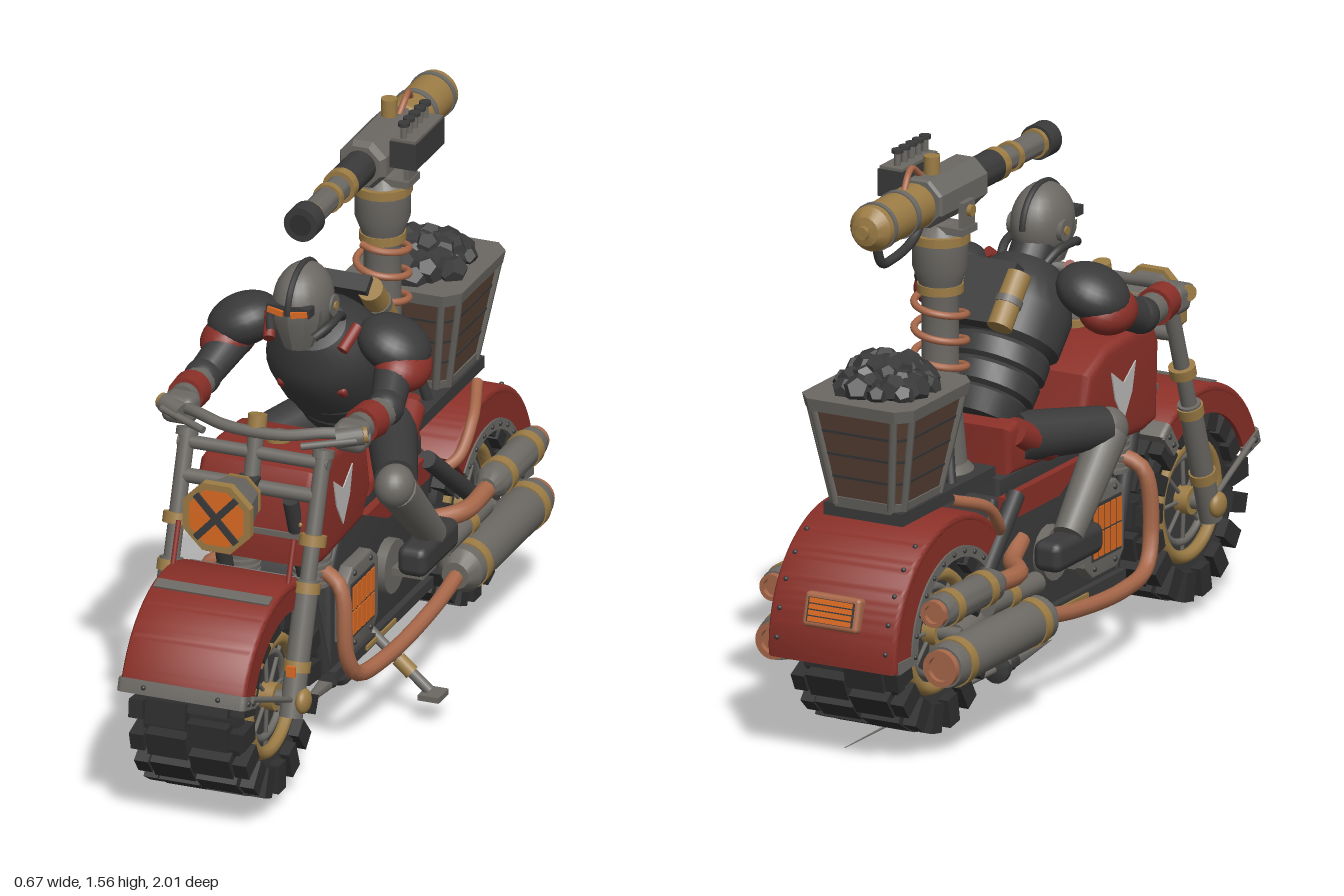
import * as THREE from 'three';
import { toCreasedNormals } from 'three/addons/utils/BufferGeometryUtils.js';
import { RoundedBoxGeometry } from 'three/addons/geometries/RoundedBoxGeometry.js';

const mat = (name, color, side = THREE.FrontSide) => Object.assign(new THREE.MeshStandardMaterial({ color, side }), { name });
const red = mat('red paint', 0x8a3028), grey = mat('steel', 0x6c6964), dark = mat('dark armour', 0x3b3a3a);
const rubber = mat('rubber', 0x2f2f2f, THREE.DoubleSide), gold = mat('brass', 0x9c7c45), copper = mat('copper', 0xa8684a);
const brown = mat('wood', 0x594236), orange = mat('orange glow', 0xdd6b22), light = mat('pale metal', 0xbdbbb8);
const V = (p) => new THREE.Vector3(...p);
const PI = Math.PI, SIDES = [1, -1];

export function createModel() {
  const root = new THREE.Group();
  root.name = 'riderOnMotorcycle';
  let parent = root;
  const part = (name, x = 0, y = 0, z = 0) => {
    parent = new THREE.Group(); parent.name = name; parent.position.set(x - 0.012, y, z); root.add(parent);
  };
  const add = (name, geo, m, p = [0, 0, 0], rot = [0, 0, 0]) => {
    const mesh = new THREE.Mesh(geo, m);
    mesh.name = name; mesh.position.set(...p); mesh.rotation.set(...rot); parent.add(mesh);
    return mesh;
  };
  const box = (name, m, size, p, rot) => add(name, new THREE.BoxGeometry(...size), m, p, rot);
  const soft = (name, m, size, r, p, rot) => add(name, new RoundedBoxGeometry(...size, 2, r), m, p, rot);
  const ball = (name, m, size, p, rot) => { const b = add(name, new THREE.SphereGeometry(1, 24, 16), m, p, rot); b.scale.set(...size); return b; };
  const rod = (name, m, a, b, r0, r1 = r0, n = 16) => {
    const d = V(b).sub(V(a)), mid = V(a).addScaledVector(d, 0.5);
    const mesh = add(name, new THREE.CylinderGeometry(r1, r0, d.length(), n), m, mid.toArray());
    mesh.quaternion.setFromUnitVectors(new THREE.Vector3(0, 1, 0), d.normalize());
    return mesh;
  };
  const tube = (name, m, pts, r, n = 40) => add(name, new THREE.TubeGeometry(new THREE.CatmullRomCurve3(pts.map(V)), n, r, 10), m);
  // turned profile [radius, height], heights ascending
  const turned = (pts, n = 28) => toCreasedNormals(new THREE.LatheGeometry(pts.map((p) => new THREE.Vector2(...p)), n), 0.5);
  const alongZ = (name, m, pts, p = [0, 0, 0], n = 28) => add(name, turned(pts, n).rotateX(PI / 2), m, p);
  const octZ = (name, m, pts) => alongZ(name, m, pts, [0, 0, 0], 8).rotation.set(0, 0, PI / 8);
  // side outline (z, y) extruded across x
  const across = (shape, w, bevel = 0) => {
    const g = new THREE.ExtrudeGeometry(shape, { depth: w - 2 * bevel, curveSegments: 32, bevelEnabled: bevel > 0, bevelSize: bevel, bevelThickness: bevel, bevelOffset: -bevel, bevelSegments: 4 });
    return toCreasedNormals(g.translate(0, 0, bevel - w / 2).rotateY(-PI / 2), 0.6);
  };
  const outline = (pts) => new THREE.Shape(pts.map((p) => new THREE.Vector2(...p)));
  const sector = (r0, r1, a0, a1) => {
    const s = new THREE.Shape();
    s.absarc(0, 0, r1, a0, a1, false); s.absarc(0, 0, r0, a1, a0, true);
    return s;
  };

  // Wheels
  for (const [name, z] of [['frontWheel', 0.69], ['rearWheel', -0.665]]) {
    part(name, 0, 0.315, z);
    add('tyre', turned([[0.165, -0.125], [0.215, -0.145], [0.24, -0.135], [0.24, 0.135], [0.215, 0.145], [0.165, 0.125]], 40).rotateZ(-PI / 2), rubber);
    const knob = new THREE.BoxGeometry(0.115, 0.05, 0.07), lug = new THREE.BoxGeometry(0.04, 0.08, 0.052);
    for (let i = 0; i < 34; i++) {
      const s = i % 2 ? 1 : -1, a = i * PI / 17;
      const at = (x, r) => [x, r * Math.cos(a), r * Math.sin(a)];
      add('treadBlock', knob, rubber, at(s * 0.06, 0.246), [a, 0, 0]);
      add('sideLug', lug, rubber, at(s * 0.145, 0.23), [a, 0, 0]);
    }
    rod('hub', gold, [-0.15, 0, 0], [0.15, 0, 0], 0.038);
    rod('axle', grey, [-0.215, 0, 0], [0.215, 0, 0], 0.022);
    rod('wheelDisc', dark, [-0.11, 0, 0], [0.11, 0, 0], 0.17, 0.17, 36);
    for (const s of SIDES) {
      add('rimRing', new THREE.TorusGeometry(0.155, 0.018, 8, 40).rotateY(PI / 2), gold, [s * 0.13, 0, 0]);
      add('brakeRing', new THREE.TorusGeometry(0.118, 0.011, 8, 36).rotateY(PI / 2), grey, [s * 0.116, 0, 0]);
      for (let i = 0; i < 8; i++) {
        const c = Math.cos(i * PI / 4), n = Math.sin(i * PI / 4);
        rod('spoke', grey, [s * 0.12, c * 0.03, n * 0.03], [s * 0.115, c * 0.15, n * 0.15], 0.006, 0.006, 6);
      }
    }
  }

  // Fenders: curved top, two cheeks, optional steel end bands with rivets
  const fender = (name, z, r0, r1, a0, a1, w, bands) => {
    part(name, 0, 0.315, z);
    const shell = (m, i, o, b, e, wide) => {
      add('top', across(sector(o - 0.03, o, b, e), wide, 0.014), m);
      for (const s of SIDES) add('cheek', across(sector(i, o - 0.012, b, e), 0.012), m, [s * (wide / 2 - 0.007), 0, 0]);
    };
    shell(red, r0, r1, a0, a1, w);
    for (const [b, e] of bands) {
      shell(grey, r0 - 0.006, r1 + 0.006, b, e, w + 0.012);
      const c = Math.cos((b + e) / 2), n = Math.sin((b + e) / 2);
      for (const i of SIDES) ball('rivet', dark, [0.007, 0.007, 0.007], [i * w * 0.3, n * (r1 + 0.006), c * (r1 + 0.006)]);
      for (const s of SIDES) for (const r of [r0 + 0.02, r1 - 0.025]) ball('rivet', dark, [0.006, 0.008, 0.008], [s * (w / 2 + 0.005), n * r, c * r]);
    }
  };
  fender('frontFender', 0.69, 0.24, 0.32, 0.3, 2.3, 0.355, [[0.28, 0.4], [2.17, 2.32]]);
  add('topStrip', across(sector(0.31, 0.325, 1.26, 1.37), 0.33), grey);
  fender('rearFender', -0.665, 0.215, 0.328, 0.78, 3.23, 0.39, []);
  for (const s of SIDES) {
    add('cheekTrim', across(sector(0.21, 0.24, 0.78, 3.24), 0.012), grey, [s * 0.193, 0, 0]);
    add('cheekEnd', across(sector(0.235, 0.31, 3.13, 3.24), 0.012), grey, [s * 0.193, 0, 0]);
    for (let a = 0.9; a < 3.2; a += 0.25) ball('trimRivet', dark, [0.005, 0.007, 0.007], [s * 0.2, 0.226 * Math.sin(a), 0.226 * Math.cos(a)]);
    for (let i = 0; i < 5; i++) ball('edgeRivet', dark, [0.007, 0.007, 0.007], [s * 0.165, 0.328 * Math.sin(2.1 + i * 0.24), 0.328 * Math.cos(2.1 + i * 0.24)]);
  }
  part('tailLight', 0, 0.43, -0.975);
  parent.rotation.x = 0.26;
  soft('frame', copper, [0.17, 0.095, 0.04], 0.012);
  box('lampBack', dark, [0.14, 0.066, 0.006], [0, 0, -0.019]);
  for (let i = 0; i < 4; i++) box('lamp', orange, [0.13, 0.013, 0.008], [0, -0.025 + i * 0.0167, -0.021]);

  // Front fork and handlebar
  part('frontFork');
  for (const s of SIDES) {
    const at = (y) => [s * 0.195, y, 0.69 + (0.315 - y) * 0.34];
    rod('upperTube', grey, at(0.6), at(0.935), 0.022);
    rod('lowerLeg', grey, at(0.27), at(0.62), 0.032);
    for (const y of [0.4, 0.6, 0.72]) rod('collar', gold, at(y - 0.014), at(y + 0.014), 0.037);
    rod('topCap', grey, at(0.93), at(0.95), 0.03);
    ball('axleCap', gold, [0.02, 0.035, 0.035], [s * 0.225, 0.315, 0.69]);
    box('reflector', orange, [0.025, 0.03, 0.008], [s * 0.195, 0.4, 0.702]);
    rod('fenderStay', grey, [s * 0.2, 0.315, 0.69], [s * 0.185, 0.42, 0.95], 0.008);
    rod('downTube', dark, [s * 0.11, 0.8, 0.5], [s * 0.12, 0.23, 0.3], 0.022);
    rod('linkage', red, [s * 0.165, 0.63, 0.65], [s * 0.165, 0.74, 0.61], 0.007);
  }
  for (const [y, w, r] of [[0.915, 0.43, 0.018], [0.83, 0.4, 0.02]]) rod('crossBar', grey, [-w / 2, y, 0.69 + (0.315 - y) * 0.34], [w / 2, y, 0.69 + (0.315 - y) * 0.34], r);
  tube('handlebar', grey, [[-0.29, 0.965, 0.39], [-0.2, 0.985, 0.44], [-0.08, 0.975, 0.48], [0.08, 0.975, 0.48], [0.2, 0.985, 0.44], [0.29, 0.965, 0.39]], 0.016);
  rod('steeringStem', grey, [0, 0.83, 0.51], [0, 0.97, 0.47], 0.022);
  rod('stemCap', gold, [0, 0.96, 0.473], [0, 1.015, 0.46], 0.026);
  for (const s of SIDES) {
    rod('lever', grey, [s * 0.14, 0.96, 0.5], [s * 0.28, 0.98, 0.45], 0.01);
    rod('barKnob', grey, [s * 0.22, 0.975, 0.45], [s * 0.285, 0.985, 0.42], 0.026);
    rod('gripRing', gold, [s * 0.285, 0.985, 0.42], [s * 0.295, 0.986, 0.415], 0.022);
  }

  // Headlight with crossed tape
  part('headlight', 0, 0.83, 0);
  octZ('shell', grey, [[0, 0.59], [0.06, 0.59], [0.07, 0.62], [0.095, 0.73]]);
  octZ('rearBand', gold, [[0.058, 0.59], [0.067, 0.59], [0.07, 0.604], [0.06, 0.604]]);
  octZ('bezel', gold, [[0.085, 0.725], [0.105, 0.725], [0.105, 0.75], [0.085, 0.75]]);
  octZ('lens', orange, [[0, 0.748], [0.09, 0.746], [0.09, 0.749], [0, 0.75]]);
  for (const s of SIDES) box('tape', dark, [0.019, 0.17, 0.006], [0, 0, 0.753], [0, 0, s * 0.75]);
  box('mount', dark, [0.06, 0.06, 0.08], [0, 0, 0.55]);

  // Fuel tank
  part('fuelTank');
  add('shell', across(outline([[0.475, 0.6], [0.485, 0.82], [0.46, 0.87], [0.35, 0.885], [0.2, 0.872], [0.1, 0.82], [0.07, 0.68], [0.13, 0.6], [0.4, 0.585]]), 0.335, 0.025), red);
  rod('fillerCap', gold, [0, 0.87, 0.32], [0, 0.9, 0.32], 0.035);
  rod('capCentre', grey, [0, 0.9, 0.32], [0, 0.906, 0.32], 0.022);
  box('frontBand', grey, [0.32, 0.016, 0.012], [0, 0.688, 0.48]);
  for (const s of SIDES) {
    add('palePatch', across(outline([[0.345, 0.8], [0.28, 0.755], [0.215, 0.8], [0.235, 0.72], [0.28, 0.65], [0.325, 0.72]]), 0.008), light, [s * 0.167, 0, 0]);
    ball('frontBolt', gold, [0.007, 0.007, 0.005], [s * 0.13, 0.725, 0.484]);
  }

  // Frame, engine and saddle
  part('chassis');
  add('engineBlock', across(outline([[0.3, 0.21], [0.3, 0.48], [0.22, 0.6], [-0.36, 0.6], [-0.4, 0.5], [-0.37, 0.26], [-0.32, 0.21]]), 0.28, 0.012), dark);
  box('skidPlate', dark, [0.32, 0.03, 0.68], [0, 0.215, -0.03]);
  for (const s of SIDES) {
    add('enginePlate', across(outline([[0.27, 0.3], [0.27, 0.47], [0.23, 0.505], [0.1, 0.505], [0.055, 0.47], [0.055, 0.3], [0.1, 0.26], [0.23, 0.26]]), 0.04, 0.006), grey, [s * 0.158, 0, 0]);
    box('grilleBack', dark, [0.006, 0.155, 0.155], [s * 0.179, 0.385, 0.17]);
    for (let i = 0; i < 5; i++) for (const y of [0.349, 0.421]) box('grilleGlow', orange, [0.008, 0.066, 0.023], [s * 0.181, y, 0.108 + i * 0.031]);
    for (const y of [0.285, 0.485]) for (const z of [0.11, 0.22]) ball('plateBolt', dark, [0.006, 0.008, 0.008], [s * 0.178, y, z]);
    add('sideFairing', across(outline([[0.1, 0.6], [-0.34, 0.6], [-0.34, 0.53], [-0.05, 0.53]]), 0.025), red, [s * 0.15, 0, 0]);
    rod('gearbox', grey, [s * 0.12, 0.38, -0.08], [s * 0.17, 0.38, -0.08], 0.075);
    rod('swingArm', grey, [s * 0.185, 0.36, -0.3], [s * 0.195, 0.315, -0.665], 0.03);
    rod('rearStrut', dark, [s * 0.17, 0.6, -0.3], [s * 0.2, 0.36, -0.6], 0.025);
    box('sillStrip', gold, [0.008, 0.012, 0.2], [s * 0.162, 0.215, 0]);
    for (let i = 0; i < 6; i++) rod('coolingFin', grey, [s * 0.1, 0.49 + i * 0.018, 0.33], [s * 0.1, 0.501 + i * 0.018, 0.33], 0.052);
  }
  add('saddle', across(outline([[0.06, 0.63], [0.06, 0.68], [-0.14, 0.7], [-0.25, 0.79], [-0.31, 0.78], [-0.3, 0.65]]), 0.31, 0.02), red);
  add('saddleBase', across(outline([[0.1, 0.58], [0.1, 0.65], [-0.34, 0.65], [-0.34, 0.58]]), 0.28, 0.01), dark);
  box('rearDeck', dark, [0.24, 0.035, 0.5], [0, 0.66, -0.57]);

  // Exhausts
  part('exhausts');
  for (const s of SIDES) {
    tube('headerPipe', copper, [[s * 0.12, 0.54, 0.33], [s * 0.19, 0.5, 0.35], [s * 0.21, 0.31, 0.355], [s * 0.22, 0.24, 0.31], [s * 0.24, 0.225, 0.15], [s * 0.255, 0.25, -0.15], [s * 0.255, 0.28, -0.32]], 0.022);
    tube('upperPipe', copper, [[s * 0.14, 0.45, -0.22], [s * 0.16, 0.42, -0.3], [s * 0.235, 0.42, -0.4], [s * 0.245, 0.43, -0.55]], 0.026);
    tube('deckHose', copper, [[s * 0.15, 0.52, -0.38], [s * 0.2, 0.55, -0.44], [s * 0.21, 0.63, -0.52], [s * 0.17, 0.68, -0.65]], 0.016);
    rod('midSilencer', grey, [s * 0.22, 0.36, -0.28], [s * 0.225, 0.37, -0.56], 0.03);
    rod('midBand', gold, [s * 0.223, 0.365, -0.42], [s * 0.224, 0.366, -0.46], 0.034);
    for (const [x, y, r, z0, z1] of [[0.255, 0.28, 0.063, -0.84, -0.29], [0.245, 0.435, 0.046, -0.86, -0.53]]) {
      alongZ('silencer', grey, [[0, z0], [r * 0.9, z0], [r, z0 + 0.03], [r, z1 - 0.04], [r * 0.6, z1], [0, z1]], [s * x, y, 0]);
      for (const z of [z0 + 0.06, z1 - 0.09]) alongZ('band', gold, [[r, z - 0.017], [r + 0.004, z - 0.017], [r + 0.004, z + 0.017], [r, z + 0.017]], [s * x, y, 0]);
      alongZ('tip', copper, [[0, z0 - 0.005], [r * 0.55, z0 - 0.005], [r * 0.55, z0 - 0.02], [r * 0.8, z0 - 0.02], [r * 0.8, z0 + 0.02]], [s * x, y, 0]);
    }
  }

  // Kickstand and trailing spike
  part('kickstand');
  rod('leg', grey, [0.13, 0.24, 0.02], [0.31, 0.085, 0.02], 0.015);
  rod('legCollar', gold, [0.22, 0.163, 0.02], [0.26, 0.128, 0.02], 0.021);
  box('foot', grey, [0.06, 0.016, 0.07], [0.32, 0.075, 0.02]);
  part('spike', 0, 0.04, 0);
  alongZ('shaft', grey, [[0.001, -0.92], [0.007, -0.3], [0.01, -0.11]]);
  alongZ('grip', dark, [[0.01, -0.12], [0.04, -0.11], [0.04, -0.095], [0.02, -0.085], [0.03, -0.07], [0.018, -0.055], [0.024, -0.035], [0.017, -0.025], [0.02, -0.01]]);
  alongZ('point', grey, [[0.02, -0.01], [0.012, 0.08], [0, 0.2]]);

  // Rider body
  part('riderTorso', 0, 0.78, -0.2);
  const torso = add('armour', turned([[0, -0.03], [0.1, -0.03], [0.118, 0.03], [0.11, 0.04], [0.125, 0.05], [0.128, 0.1], [0.12, 0.112], [0.133, 0.122], [0.133, 0.17], [0.126, 0.182], [0.146, 0.2], [0.15, 0.3], [0.13, 0.37], [0.08, 0.43], [0, 0.45]]), dark, [0, 0, 0], [0.68, 0, 0]);
  torso.scale.x = 1.1;
  box('backPack', dark, [0.16, 0.18, 0.05], [0, 0.32, 0.03], [0.68, 0, 0]);
  soft('chestTrim', red, [0.2, 0.035, 0.05], 0.012, [0, 0.165, 0.27], [0.68, 0, 0]);
  for (const s of SIDES) {
    rod('airTank', gold, [s * 0.08, 0.25, -0.03], [s * 0.08, 0.37, 0.075], 0.035);
    rod('tankBand', grey, [s * 0.08, 0.3, 0.014], [s * 0.08, 0.315, 0.027], 0.038);
    rod('collarStrap', red, [s * 0.125, 0.35, 0.27], [s * 0.105, 0.3, 0.33], 0.016);
    rod('hipGuard', red, [s * 0.14, -0.02, -0.06], [s * 0.16, -0.1, 0.1], 0.04);
  }
  rod('neck', dark, [0, 0.33, 0.26], [0, 0.42, 0.33], 0.06);

  // Rider limbs
  part('riderLimbs');
  for (const s of SIDES) {
    ball('shoulderPlate', dark, [0.103, 0.07, 0.1], [s * 0.215, 1.08, 0.035], [0, 0, -s * 0.4]);
    ball('shoulderTrim', red, [0.075, 0.062, 0.1], [s * 0.25, 1.03, 0.055], [0, 0, -s * 0.4]);
    rod('upperArm', dark, [s * 0.23, 1.04, 0.06], [s * 0.265, 0.97, 0.21], 0.055, 0.045);
    ball('elbow', dark, [0.05, 0.05, 0.055], [s * 0.262, 0.975, 0.21]);
    rod('forearm', grey, [s * 0.262, 0.97, 0.21], [s * 0.25, 0.98, 0.38], 0.045, 0.04);
    rod('cuff', red, [s * 0.257, 0.975, 0.29], [s * 0.252, 0.98, 0.355], 0.053, 0.05);
    soft('hand', grey, [0.095, 0.08, 0.08], 0.025, [s * 0.245, 0.97, 0.4]);
    rod('thigh', dark, [s * 0.11, 0.725, -0.2], [s * 0.23, 0.7, 0.06], 0.07, 0.058);
    ball('knee', grey, [0.053, 0.06, 0.062], [s * 0.235, 0.69, 0.08]);
    rod('shin', grey, [s * 0.238, 0.68, 0.075], [s * 0.245, 0.46, -0.15], 0.055, 0.042);
    soft('boot', dark, [0.085, 0.085, 0.25], 0.025, [s * 0.24, 0.425, -0.14]);
    box('footPeg', grey, [0.1, 0.02, 0.09], [s * 0.21, 0.375, -0.1]);
  }

  // Helmet
  part('helmet', 0, 1.215, 0.145);
  ball('dome', grey, [0.078, 0.108, 0.11]);
  const crest = add('crest', new THREE.TorusGeometry(0.107, 0.009, 8, 28, PI).rotateY(-PI / 2), dark);
  crest.scale.set(1, 1, 1.02);
  add('faceMask', turned([[0, -0.12], [0.04, -0.115], [0.072, -0.03], [0.075, 0]], 10), grey, [0, 0, 0.037]);
  box('browBand', dark, [0.125, 0.026, 0.035], [0, 0.012, 0.092]);
  for (const s of SIDES) {
    box('eye', orange, [0.046, 0.016, 0.008], [s * 0.034, 0.008, 0.113], [0, s * 0.12, s * 0.15]);
    rod('earDisc', grey, [s * 0.06, -0.01, -0.02], [s * 0.083, -0.01, -0.02], 0.03);
    rod('earBolt', gold, [s * 0.08, -0.01, -0.02], [s * 0.088, -0.01, -0.02], 0.012);
    tube('breathHose', dark, [[s * 0.06, -0.07, 0.08], [s * 0.085, -0.05, 0.02], [s * 0.08, -0.055, -0.06], [s * 0.06, -0.1, -0.13]], 0.012);
  }

  // Gun post with coiled pipe
  part('gunPost', 0, 0, -0.405);
  add('post', turned([[0, 0.65], [0.095, 0.65], [0.09, 0.68], [0.072, 0.7], [0.05, 0.95], [0.05, 1.16], [0.06, 1.2], [0.075, 1.24], [0.075, 1.32], [0.04, 1.36], [0, 1.37]]), grey);
  for (const [y, r] of [[1.18, 0.063], [1.32, 0.08], [0.9, 0.06]]) rod('postRing', gold, [0, y - 0.012, 0], [0, y + 0.012, 0], r);
  const coil = [];
  for (let i = 0; i <= 40; i++) coil.push([0.07 * Math.cos(i * PI / 6), 0.93 + i * 0.006, 0.07 * Math.sin(i * PI / 6)]);
  tube('coil', copper, coil, 0.01, 160);
  for (const s of SIDES) rod('brace', dark, [s * 0.09, 0.67, -0.1], [s * 0.03, 0.95, -0.03], 0.014);

  // Mounted gun
  part('mountedGun', 0, 1.44, 0);
  const seg = (name, m, r, z0, z1) => alongZ(name, m, [[0, z0], [r, z0], [r, z1], [0, z1]]);
  for (const s of [['muzzle', dark, 0.048, 0.11, 0.165], ['muzzleRing', gold, 0.04, 0.095, 0.11], ['barrel', grey, 0.034, -0.14, 0.11], ['barrelRing', gold, 0.041, -0.04, -0.02], ['barrelRing', gold, 0.046, -0.13, -0.1], ['sleeve', dark, 0.045, -0.26, -0.13], ['tankRing', grey, 0.066, -0.64, -0.62], ['tankRing', grey, 0.066, -0.76, -0.745]]) seg(...s);
  seg('bore', rubber, 0.03, 0.16, 0.168);
  octZ('receiver', grey, [[0, -0.52], [0.066, -0.52], [0.072, -0.51], [0.072, -0.27], [0.06, -0.25], [0, -0.25]]);
  alongZ('gasTank', gold, [[0, -0.83], [0.018, -0.83], [0.018, -0.815], [0.04, -0.81], [0.062, -0.78], [0.062, -0.54], [0.045, -0.51]]);
  box('yoke', grey, [0.18, 0.02, 0.08], [0, -0.09, -0.405]);
  for (const s of SIDES) {
    box('yokeArm', grey, [0.016, 0.08, 0.06], [s * 0.08, -0.05, -0.405]);
    rod('yokePin', gold, [s * 0.07, -0.035, -0.405], [s * 0.1, -0.035, -0.405], 0.016);
  }
  box('ammoBox', dark, [0.075, 0.075, 0.2], [0.105, 0.03, -0.39]);
  box('ammoLid', grey, [0.07, 0.008, 0.19], [0.105, 0.071, -0.39]);
  for (let i = 0; i < 5; i++) {
    rod('valve', grey, [0.1, 0.06, -0.31 - i * 0.037], [0.1, 0.11, -0.31 - i * 0.037], 0.009);
    rod('valveCap', dark, [0.1, 0.11, -0.31 - i * 0.037], [0.1, 0.12, -0.31 - i * 0.037], 0.016);
  }
  rod('sightKnob', gold, [0, 0.05, -0.45], [0, 0.115, -0.45], 0.022);
  tube('topPipe', copper, [[0.02, 0.06, -0.47], [0.02, 0.095, -0.52], [0.01, 0.09, -0.56], [0, 0.055, -0.6]], 0.009);
  tube('hose', dark, [[0, -0.04, -0.5], [0, -0.09, -0.55], [0, -0.115, -0.66], [0, -0.11, -0.72], [0, -0.05, -0.75]], 0.013);

  // Coal basket: tapered tiers with cut corners
  part('coalBasket', 0, 0, -0.695);
  const rim = [[1, 0.78], [0.78, 1], [-0.78, 1], [-1, 0.78], [-1, -0.78], [-0.78, -1], [0.78, -1], [1, -0.78]];
  const tier = (name, m, y0, y1, grow) => {
    const g = new THREE.ExtrudeGeometry(outline(rim), { depth: y1 - y0, bevelEnabled: false }).rotateX(-PI / 2).translate(0, y0, 0);
    const p = g.attributes.position;
    for (let i = 0; i < p.count; i++) {
      const half = 0.122 + (p.getY(i) - 0.68) * 0.2 + grow;
      p.setXYZ(i, p.getX(i) * half * 0.88, p.getY(i), p.getZ(i) * half);
    }
    g.computeVertexNormals();
    add(name, g, m);
  };
  tier('planks', brown, 0.68, 0.96, 0);
  for (const y of [0.755, 0.82, 0.885]) tier('plankGap', dark, y, y + 0.008, 0.002);
  tier('baseBand', grey, 0.67, 0.7, 0.005);
  tier('rim', grey, 0.945, 0.98, 0.012);
  for (const s of SIDES) for (const t of SIDES) for (const [x, z] of [[1, 0.78], [0.78, 1]]) rod('cornerStrap', grey, [s * x * 0.107, 0.68, t * z * 0.122], [s * x * 0.157, 0.96, t * z * 0.178], 0.011, 0.011, 6);
  let seed = 7;
  const rnd = () => (seed = (seed * 16807) % 2147483647) / 2147483647;
  for (let i = 0; i < 34; i++) {
    const a = i * 2.4, r = Math.sqrt(i / 34), size = 0.028 + rnd() * 0.02;
    add('coal', new THREE.DodecahedronGeometry(size), dark, [Math.cos(a) * r * 0.125, 0.975 + (1 - r * r) * 0.06 + rnd() * 0.012, Math.sin(a) * r * 0.135], [rnd() * 3, rnd() * 3, rnd() * 3]);
  }
  return root;
}
